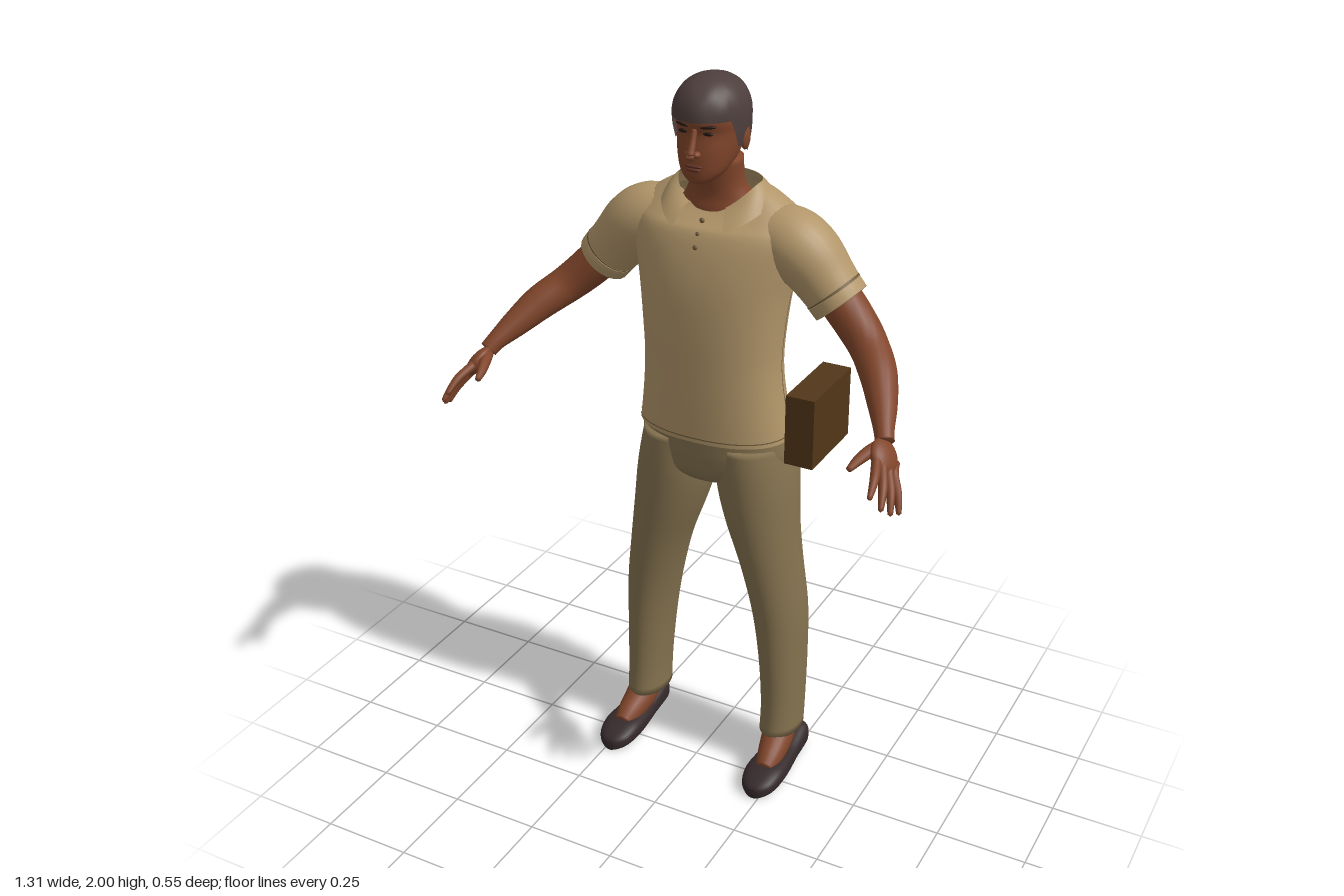
import * as THREE from 'three';
import { mergeVertices } from 'three/addons/utils/BufferGeometryUtils.js';

const mat = (name, color, side = THREE.FrontSide) => {
  const m = new THREE.MeshStandardMaterial({ color, side });
  m.name = name;
  return m;
};

// Smooth grid surface from a rule fn(u, v) -> [x, y, z]
function surface(nu, nv, fn) {
  const pos = [], index = [];
  for (let j = 0; j <= nv; j++)
    for (let i = 0; i <= nu; i++) pos.push(...fn(i / nu, j / nv, j));
  for (let j = 0; j < nv; j++)
    for (let i = 0; i < nu; i++) {
      const a = j * (nu + 1) + i, b = a + 1, c = b + nu + 1, d = c - 1;
      index.push(a, b, c, a, c, d);
    }
  let g = new THREE.BufferGeometry();
  g.setAttribute('position', new THREE.Float32BufferAttribute(pos, 3));
  g.setIndex(index);
  g = mergeVertices(g, 1e-5);
  g.computeVertexNormals();
  return g;
}

// Smooth interpolation through rows of numbers
function sample(rows, t) {
  const n = rows.length - 1, f = Math.min(Math.max(t, 0), 1) * n;
  const i = Math.min(Math.floor(f), n - 1), s = f - i;
  const [a, b, c, d] = [i - 1, i, i + 1, i + 2].map(k => rows[Math.min(Math.max(k, 0), n)]);
  return b.map((q, k) => q + 0.5 * s * (c[k] - a[k] + s * (2 * a[k] - 5 * q + 4 * c[k] - d[k] + s * (3 * (q - c[k]) + d[k] - a[k]))));
}
const pw = (x, e) => Math.sign(x) * Math.abs(x) ** e;

// Upright loft; each row is [y, centreX, radiusX, zFront, zBack]
function loft(rows, { e = 1, cap = true, u0 = 0, u1 = 1, v0 = 0, v1 = 1, grow = 0, drop = () => 0, nu = 40 } = {}) {
  const nv = rows.length * 4;
  return surface(nu, nv, (u, v, j) => {
    const [y, cx, rx, zf, zb] = sample(rows, v0 + (v1 - v0) * v);
    const k = cap && (j === 0 || j === nv) ? 0 : 1, a = 2 * Math.PI * (u0 + (u1 - u0) * u);
    const c = pw(Math.cos(a), e);
    return [cx + k * (rx + grow) * pw(Math.sin(a), e), y - drop(y, c), (zf + zb) / 2 + k * ((zf - zb) / 2 + grow) * c];
  });
}

// Tapered round limb; each row is [x, y, z, radius]
function limb(rows, nu = 20) {
  const nv = rows.length * 5, up = new THREE.Vector3(0, 1, 0);
  return surface(nu, nv, (u, v, j) => {
    const [x, y, z, r] = sample(rows, v), k = j === 0 || j === nv ? 0 : r;
    const p = sample(rows, v - 0.02), q = sample(rows, v + 0.02);
    const T = new THREE.Vector3(q[0] - p[0], q[1] - p[1], q[2] - p[2]).normalize();
    const A = new THREE.Vector3().crossVectors(T, up).normalize(), B = new THREE.Vector3().crossVectors(T, A);
    const c = k * Math.cos(u * 2 * Math.PI), s = k * Math.sin(u * 2 * Math.PI);
    return [x + A.x * c + B.x * s, y + A.y * c + B.y * s, z + A.z * c + B.z * s];
  });
}

export function createModel() {
  const root = new THREE.Group();
  root.name = 'standingMan';
  const shirt = mat('shirt tan', 0xb2966a, THREE.DoubleSide), seam = mat('seam brown', 0x6f5c3c, THREE.DoubleSide);
  const pants = mat('trouser khaki', 0x84724f, THREE.DoubleSide), skin = mat('skin', 0x80452a);
  const hair = mat('hair', 0x4d3e3c, THREE.DoubleSide), shoe = mat('shoe leather', 0x35292b);
  const wood = mat('box brown', 0x523619), lip = mat('lips', 0x5f2f24), dark = mat('eye dark', 0x21150f);
  const add = (name, geo, m) => {
    const mesh = new THREE.Mesh(geo, m);
    mesh.name = name;
    root.add(mesh);
    return mesh;
  };
  const ball = (name, m, p, s) => {
    const b = add(name, new THREE.SphereGeometry(1, 20, 14), m);
    b.position.set(...p);
    b.scale.set(...s);
    return b;
  };

  // Shirt body, neckline dropping at the front
  const torso = [
    [1.04, 0, .216, .02, -.265], [1.15, 0, .198, .026, -.24], [1.25, 0, .19, .03, -.23], [1.35, 0, .195, .033, -.237],
    [1.45, 0, .206, .031, -.25], [1.53, 0, .222, .02, -.257], [1.6, 0, .235, 0, -.257], [1.65, 0, .215, -.028, -.245],
    [1.69, 0, .165, -.05, -.225], [1.715, 0, .118, -.062, -.205]];
  const drop = (y, c) => Math.max(0, y - 1.62) * 0.55 * Math.max(0, c) ** 2;
  const sheet = o => loft(torso, { e: .88, cap: false, drop, ...o });
  add('shirtBody', sheet({}), shirt);
  add('hemStitch', sheet({ grow: .002, v0: .018, v1: .022 }), seam);
  for (const u of [.26, .74]) add('sideSeam', sheet({ u0: u - .002, u1: u + .002, v1: .45, grow: .002, nu: 2 }), seam);
  add('backVent', sheet({ u0: .455, u1: .545, v0: 0, v1: .15, grow: .004, nu: 8 }), pants);

  // Collar and buttons
  add('collar', surface(48, 6, (u, v) => {
    const a = .48 + u * (2 * Math.PI - .96), c = Math.cos(a), w = 1 - v, f = Math.max(0, c);
    return [(.112 + .04 * w) * Math.sin(a), 1.728 - .07 * f * f - .052 * w + .006 * Math.sin(v * Math.PI),
      -.13 + (c > 0 ? .082 + .062 * w : .082 + .03 * w) * c];
  }), shirt);
  for (const [y, z] of [[1.64, -.03], [1.61, -.008], [1.58, .006]]) ball('button', seam, [0, y, z], [.007, .007, .005]);

  // Trousers
  add('trouserSeat', loft([[.9, 0, .1, -.03, -.22], [.93, 0, .2, -.01, -.262], [.98, 0, .221, 0, -.276],
    [1.03, 0, .212, .004, -.266], [1.1, 0, .19, .01, -.235]], { e: .92 }), pants);
  for (const s of [1, -1]) {
    const leg = [[.1, .218, .058, -.03, -.203], [.2, .218, .058, -.038, -.21], [.35, .212, .064, -.036, -.22], [.5, .199, .074, -.03, -.225],
      [.65, .172, .084, -.018, -.225], [.78, .142, .1, -.008, -.235], [.88, .124, .11, -.003, -.257], [.96, .115, .107, -.002, -.272],
      [1.03, .105, .1, -.005, -.255]];
    add('trouserLeg', loft(leg.map(([y, x, ...r]) => [y, s * x, ...r])), pants);

    // Slip-on shoe and bare instep
    const last = [[-.203, .015, .05], [-.19, .04, .08], [-.1, .046, .062], [-.03, .054, .062], [.03, .056, .062], [.075, .047, .05], [.098, .03, .038], [.107, .012, .028]];
    add('shoe', surface(28, 32, (u, v, j) => {
      const [z, w, h] = sample(last, v), k = j === 0 || j === 32 ? 0 : 1, a = u * 2 * Math.PI;
      return [s * .234 + k * w * pw(Math.cos(a), .75), h / 2 + k * h / 2 * pw(Math.sin(a), .7), z];
    }), shoe);
    add('foot', limb([[s * .22, .15, -.14, .044], [s * .225, .092, -.075, .045], [s * .231, .062, -.01, .036], [s * .233, .045, .03, .025]]), skin);

    // Sleeve and cuff
    const mir = rows => rows.map(([x, ...r]) => [s * x, ...r]);
    add('sleeve', limb(mir([[.12, 1.6, -.13, .075], [.195, 1.588, -.13, .09], [.245, 1.558, -.13, .09], [.295, 1.505, -.13, .08],
      [.342, 1.45, -.128, .074]]), 28), shirt);
    add('sleeveCuff', limb(mir([[.321, 1.475, -.128, .077], [.332, 1.462, -.128, .077], [.344, 1.448, -.128, .076]]), 28), shirt);
    add('cuffStitch', limb(mir([[.3185, 1.478, -.128, .078], [.3205, 1.4757, -.128, .078], [.3215, 1.4745, -.128, .078]]), 28), seam);

    // Bare arm, hand and fingers
    add('arm', limb(mir([[.3, 1.5, -.13, .055], [.37, 1.43, -.12, .056], [.435, 1.37, -.09, .051], [.49, 1.325, -.03, .047],
      [.53, 1.28, .035, .037], [.558, 1.245, .09, .026], [.572, 1.222, .115, .024]])), skin);
    const palm = ball('palm', skin, [s * .582, 1.2, .143], [.05, .044, .021]);
    const along = new THREE.Vector3(s * .06, -.1, .13).normalize(), across = new THREE.Vector3(s * .05, -.06, -.07);
    const flat = new THREE.Vector3().crossVectors(along, across).normalize();
    across.crossVectors(flat, along);
    palm.quaternion.setFromRotationMatrix(new THREE.Matrix4().makeBasis(along, across, flat));
    const fingers = [[.58, 1.2, .185, .6, 1.15, .272], [.594, 1.186, .178, .625, 1.118, .258], [.604, 1.172, .164, .64, 1.097, .232],
      [.61, 1.163, .145, .65, 1.086, .2]];
    for (const [x, y, z, X, Y, Z] of fingers)
      add('finger', limb(mir([[x - .01, y + .015, z - .03, .013], [x, y, z, .0125], [(x + X) / 2 + .004, (y + Y) / 2 + .004, (z + Z) / 2 + .002, .011],
        [X, Y, Z, .006]]), 10), skin);
    add('thumb', limb(mir([[.57, 1.22, .115, .017], [.552, 1.215, .155, .016], [.537, 1.204, .195, .013], [.527, 1.192, .232, .007]]), 10), skin);

    // Paired face parts
    ball('ear', skin, [s * .088, 1.85, -.09], [.01, .031, .02]);
    ball('eye', dark, [s * .033, 1.874, .003], [.014, .005, .006]);
    const brow = ball('eyebrow', dark, [s * .035, 1.891, .006], [.021, .004, .006]);
    brow.rotation.z = s * .08;
    brow.rotation.y = s * .25;
    ball('nostrilWing', skin, [s * .011, 1.823, .019], [.01, .009, .012]);
  }

  // Neck and head
  add('neck', loft([[1.58, 0, .11, -.06, -.2], [1.65, 0, .108, -.055, -.2], [1.69, 0, .088, -.06, -.19], [1.73, 0, .071, -.055, -.175],
    [1.8, 0, .07, -.04, -.17]]), skin);
  add('head', loft([[1.745, 0, .022, .006, -.04], [1.755, 0, .04, .013, -.07], [1.775, 0, .058, .016, -.1], [1.8, 0, .07, .017, -.14],
    [1.83, 0, .078, .015, -.165], [1.87, 0, .084, .009, -.183], [1.9, 0, .086, .016, -.188], [1.94, 0, .08, .008, -.182],
    [1.98, 0, .05, -.04, -.14]], { e: .93 }), skin);
  add('nose', limb([[0, 1.885, .008, .007], [0, 1.86, .017, .008], [0, 1.835, .027, .01], [0, 1.822, .031, .0105], [0, 1.813, .02, .006]].map(
    ([x, y, z, r]) => [x, y, z, r])), skin);
  ball('upperLip', lip, [0, 1.793, .016], [.024, .005, .008]);
  ball('lowerLip', lip, [0, 1.784, .016], [.02, .005, .008]);

  // Cropped hair cap with a lower edge at the nape
  add('hair', surface(48, 24, (u, v) => {
    const a = u * 2 * Math.PI, c = Math.cos(a);
    const low = 1.8 + .035 * THREE.MathUtils.smoothstep(c, -.55, -.1) + .07 * THREE.MathUtils.smoothstep(c, .25, .5);
    const y = low + (2 - low) * Math.sin(v * Math.PI / 2);
    const h = Math.min(1, Math.abs(y - 1.9) / (y > 1.9 ? .1 : .18));
    const r = Math.max(0, 1 - h ** 2.3) ** (1 / 2.2) * (1 + .012 * Math.sin(a * 9) * Math.sin(v * 9));
    return [.094 * r * Math.sin(a), y, -.083 + .117 * r * c];
  }), hair);

  // Box at the left hip
  add('hipBox', new THREE.BoxGeometry(.08, .195, .232), wood).position.set(.29, 1.122, -.129);
  return root;
}
